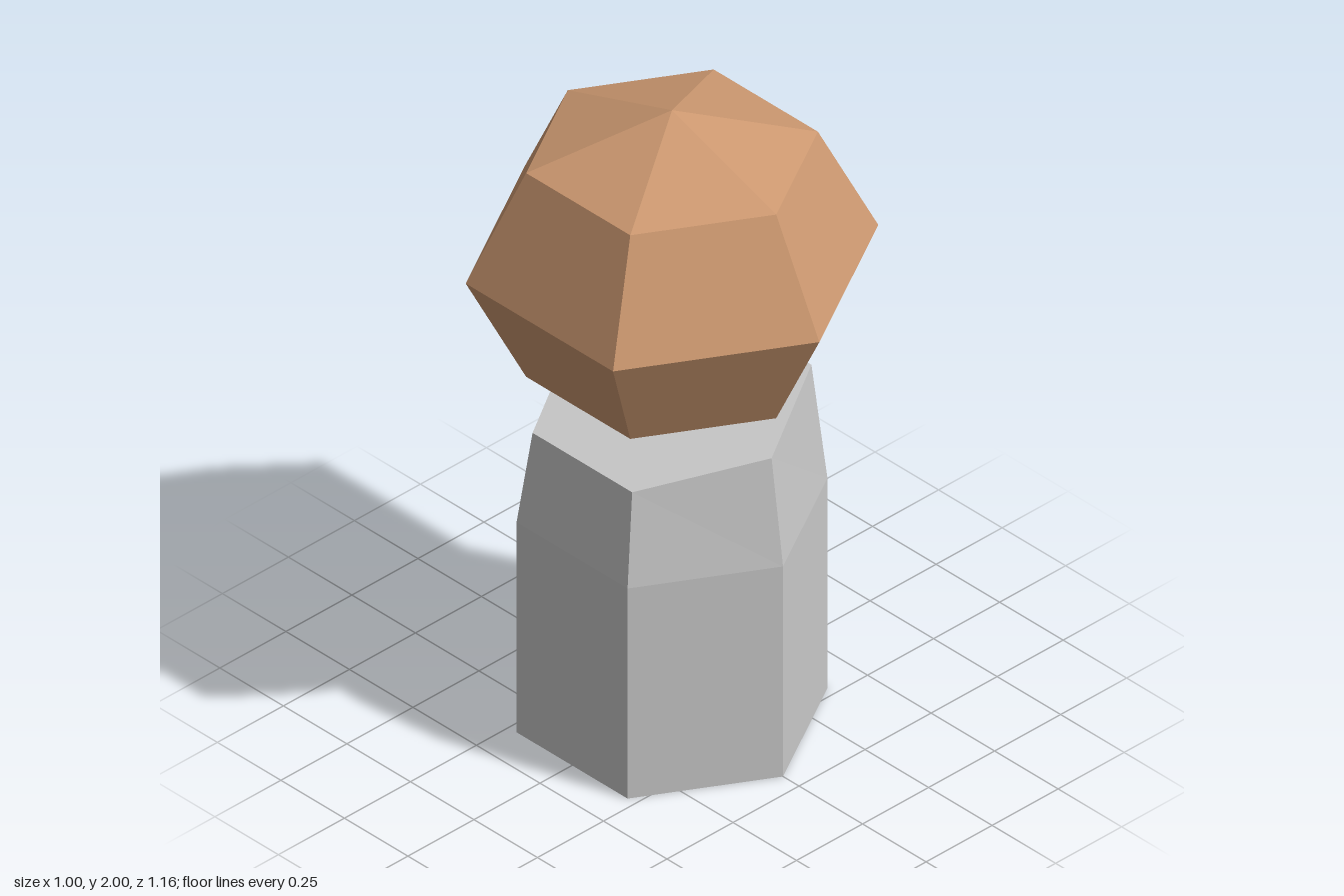
import * as THREE from 'three';

const SIDES = 6;

// Faceted ring of flat panels; profile runs bottom to top, sweep in sides
function facet(profile, firstSide = 0, sideCount = SIDES) {
  const step = (Math.PI * 2) / SIDES;
  const points = profile.map(([r, y]) => new THREE.Vector2(r, y));
  return new THREE.LatheGeometry(points, sideCount, firstSide * step, sideCount * step);
}

function addPart(parent, name, geometry, material) {
  const flat = geometry.toNonIndexed();
  flat.computeVertexNormals();
  const mesh = new THREE.Mesh(flat, material);
  mesh.name = name;
  parent.add(mesh);
}

export function createModel() {
  const grey = new THREE.MeshStandardMaterial({ name: 'grey', color: 0xc8c8c8 });
  const brown = new THREE.MeshStandardMaterial({ name: 'brown', color: 0xcc9870 });

  const model = new THREE.Group();
  model.name = 'pegFigure';

  // Body: hexagonal post with tapered shoulders and a slanted top
  const body = facet([[0, 0], [0.437, 0], [0.437, 0.7], [0.392, 1.038], [0, 1.038]]);
  const pos = body.attributes.position;
  for (let i = 0; i < pos.count; i++) {
    if (pos.getY(i) > 1) pos.setY(i, pos.getY(i) + 0.14 * pos.getX(i));
  }
  addPart(model, 'body', body, grey);

  // Head: squashed six-sided ball, with a face on the lower +x half
  const head = new THREE.Group();
  head.name = 'head';
  head.position.y = 1.52;
  const R = 0.58, H = 0.48, r = R * Math.SQRT1_2, h = H * Math.SQRT1_2;
  addPart(head, 'hair', facet([[R, 0], [r, h], [0, H]]), brown);
  addPart(head, 'face', facet([[r, -h], [R, 0]], 0, 3), grey);
  addPart(head, 'backOfHead', facet([[r, -h], [R, 0]], 3, 3), brown);
  addPart(head, 'underside', facet([[0, -H], [r, -h]]), brown);
  model.add(head);

  return model;
}
